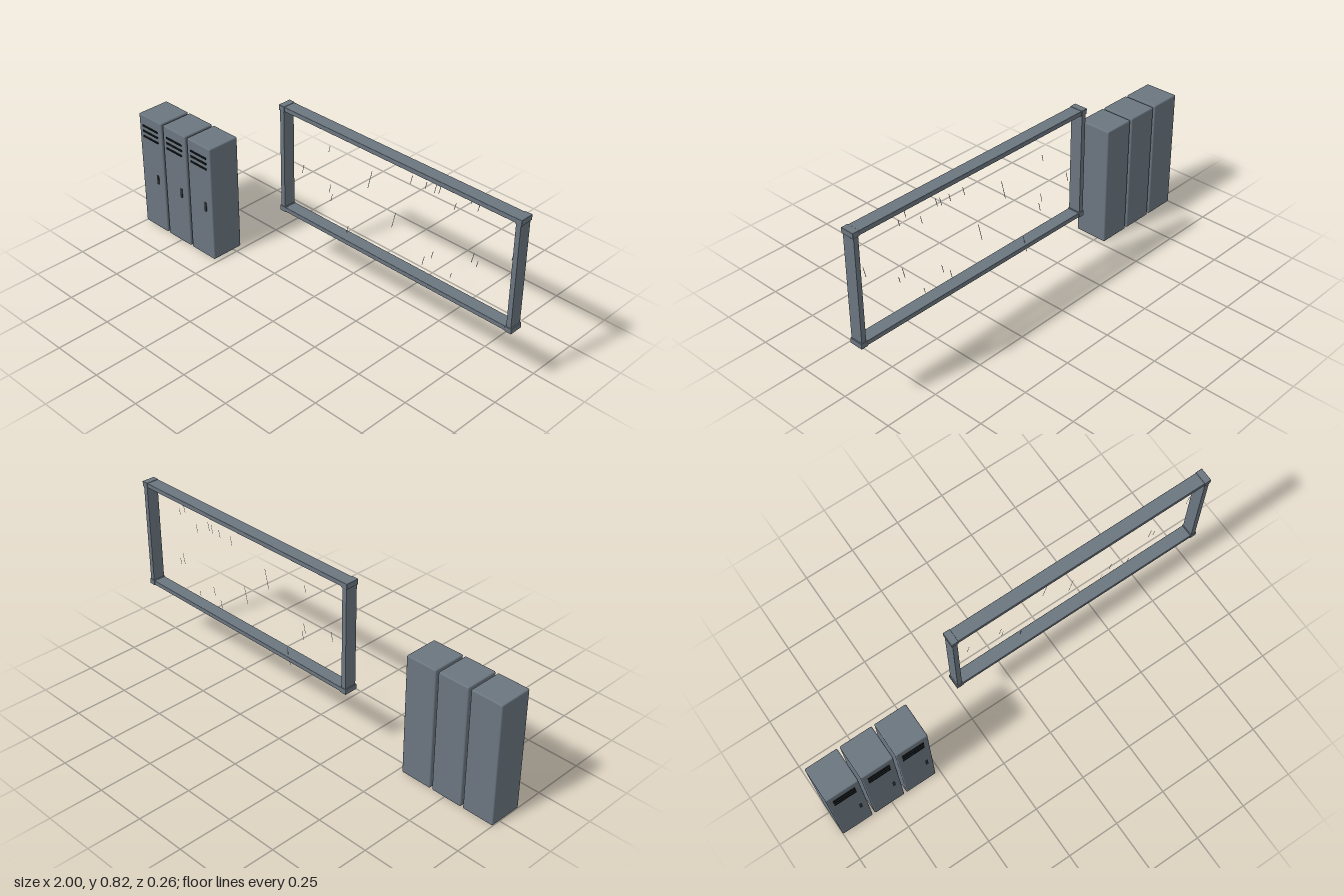
import * as THREE from 'three';
import { RoundedBoxGeometry } from 'three/addons/geometries/RoundedBoxGeometry.js';

const steel = new THREE.MeshStandardMaterial({ color: 0x6b7680 });
steel.name = 'steel grey';
const dark = new THREE.MeshStandardMaterial({ color: 0x14181b });
dark.name = 'vent black';
const grip = new THREE.MeshStandardMaterial({ color: 0x3a4147 });
grip.name = 'handle grey';
const glint = new THREE.MeshStandardMaterial({ color: 0xe9eef1, side: THREE.DoubleSide });
glint.name = 'glass glint';

// Box given by its lower and upper corners, optionally with rounded edges
function block(name, material, [x0, y0, z0], [x1, y1, z1], radius = 0) {
  const w = x1 - x0, h = y1 - y0, d = z1 - z0;
  const geometry = radius ? new RoundedBoxGeometry(w, h, d, 2, radius) : new THREE.BoxGeometry(w, h, d);
  const mesh = new THREE.Mesh(geometry, material);
  mesh.name = name;
  mesh.position.set((x0 + x1) / 2, (y0 + y1) / 2, (z0 + z1) / 2);
  return mesh;
}

function createLocker(x) {
  const locker = new THREE.Group();
  locker.name = 'locker';
  locker.add(block('lockerBody', steel, [x - 0.076, 0, -0.045], [x + 0.076, 0.575, 0.117], 0.006));
  // Three vent slots near the top of the door
  for (const y of [0.467, 0.494, 0.521]) {
    locker.add(block('ventSlot', dark, [x - 0.051, y - 0.004, 0.115], [x + 0.051, y + 0.004, 0.121]));
  }
  // Upright door handle
  locker.add(block('handle', grip, [x + 0.037, 0.252, 0.124], [x + 0.049, 0.297, 0.129], 0.002));
  return locker;
}

function createWindow() {
  const frame = new THREE.Group();
  frame.name = 'windowFrame';
  const left = -0.272, right = 1, bottom = 0.301, top = 0.823;
  // Rails
  frame.add(block('bottomRail', steel, [left + 0.005, bottom + 0.002, -0.125], [right - 0.005, bottom + 0.023, -0.065], 0.002));
  frame.add(block('topRail', steel, [left + 0.005, top - 0.023, -0.125], [right - 0.005, top - 0.002, -0.065], 0.002));
  // Posts and the blocks that cap the corners
  for (const x of [left + 0.016, right - 0.016]) {
    frame.add(block('post', steel, [x - 0.011, bottom + 0.015, -0.124], [x + 0.011, top - 0.015, -0.066]));
    for (const y of [bottom + 0.0125, top - 0.0125]) {
      frame.add(block('cornerBlock', steel, [x - 0.016, y - 0.0125, -0.127], [x + 0.016, y + 0.0125, -0.063], 0.002));
    }
  }
  // Slanted glints on the pane: x, y, height
  const glints = [
    [-0.02, 0.69, 0.03], [0.21, 0.64, 0.09], [-0.175, 0.53, 0.045], [-0.015, 0.5, 0.045], [-0.005, 0.46, 0.04],
    [0.345, 0.505, 0.08], [0.43, 0.735, 0.04], [0.505, 0.74, 0.035], [0.553, 0.745, 0.04], [0.575, 0.75, 0.04],
    [0.655, 0.71, 0.035], [0.735, 0.775, 0.035], [0.767, 0.75, 0.03], [0.945, 0.62, 0.05], [0.757, 0.52, 0.05],
    [0.78, 0.5, 0.03], [0.555, 0.435, 0.04], [0.51, 0.385, 0.045], [0.655, 0.385, 0.025], [0.083, 0.318, 0.085],
  ];
  const group = new THREE.Group();
  group.name = 'glassGlints';
  for (const [x, y, h] of glints) {
    const lean = h * 0.12, w = 0.0015;
    const shape = new THREE.Shape([
      new THREE.Vector2(-lean - w, -h / 2), new THREE.Vector2(-lean + w, -h / 2),
      new THREE.Vector2(lean + w, h / 2), new THREE.Vector2(lean - w, h / 2),
    ]);
    const mesh = new THREE.Mesh(new THREE.ShapeGeometry(shape), glint);
    mesh.name = 'glint';
    mesh.position.set(x, y, -0.11);
    group.add(mesh);
  }
  frame.add(group);
  return frame;
}

export function createModel() {
  const model = new THREE.Group();
  model.name = 'lockersAndWindow';
  for (let i = 0; i < 3; i++) model.add(createLocker(-0.924 + i * 0.1635));
  model.add(createWindow());
  return model;
}
